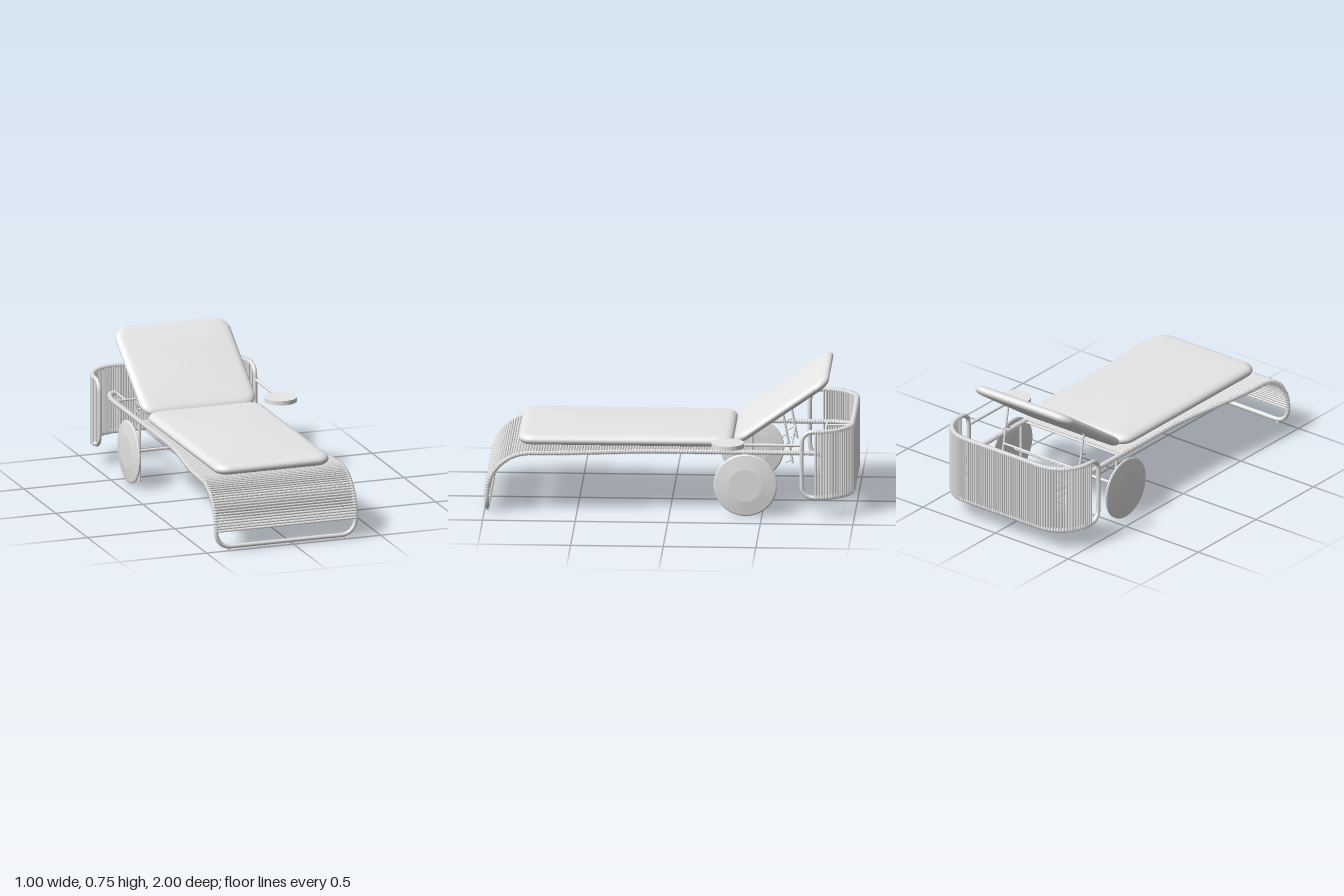
import * as THREE from 'three';
import { mergeGeometries, toCreasedNormals } from 'three/addons/utils/BufferGeometryUtils.js';

const V = (x, y, z) => new THREE.Vector3(x, y, z);

export function createModel() {
  const paleGrey = new THREE.MeshStandardMaterial({ color: 0xe7e7e7 });
  paleGrey.name = 'pale grey';
  const model = new THREE.Group();
  const body = new THREE.Group();
  body.name = 'lounger';
  body.position.x = -0.0385;
  model.add(body);

  const add = (name, geo) => {
    const mesh = new THREE.Mesh(geo, paleGrey);
    mesh.name = name;
    body.add(mesh);
    return mesh;
  };
  // Straight round bar between two points
  const bar = (a, b, r, sides = 10) => {
    const d = b.clone().sub(a);
    const g = new THREE.CylinderGeometry(r, r, d.length(), sides);
    g.applyQuaternion(new THREE.Quaternion().setFromUnitVectors(V(0, 1, 0), d.normalize()));
    return g.translate((a.x + b.x) / 2, (a.y + b.y) / 2, (a.z + b.z) / 2);
  };
  // One turn of cord around a tube
  const turn = (p, tangent) => {
    const g = new THREE.TorusGeometry(0.009, 0.006, 5, 10);
    g.applyQuaternion(new THREE.Quaternion().setFromUnitVectors(V(0, 0, 1), tangent));
    return g.translate(p.x, p.y, p.z);
  };

  // Soft cushion lofted from rounded rectangles, closed at both poles
  const cushion = (w, l, t) => {
    const rings = [], edge = 0.045, c = 0.082, h = t / 2;
    const dome = [0, 0.4, 0.65, 0.82, 0.93].map(s => [edge, s, (0.78 + 0.22 * (1 - s * s)) * h]);
    for (const [e, s, y] of dome) rings.push([e, s, -y]);
    for (let k = 0; k <= 10; k++) {
      const a = (k / 10 - 0.5) * Math.PI;
      rings.push([edge * (1 - Math.cos(a)), 1, 0.78 * h * Math.sin(a)]);
    }
    rings.push(...dome.reverse());
    const pos = [], idx = [], per = 36;
    for (const [inset, s, y] of rings) {
      for (let q = 0; q < 4; q++) {
        const sx = q === 0 || q === 3 ? 1 : -1, sz = q < 2 ? -1 : 1;
        for (let k = 0; k <= 8; k++) {
          const a = (q + k / 8) * Math.PI / 2;
          pos.push(s * (sx * (w / 2 - c) + (c - inset) * Math.cos(a)), y,
            s * (sz * (l / 2 - c) - (c - inset) * Math.sin(a)));
        }
      }
    }
    for (let j = 0; j < rings.length - 1; j++) {
      for (let i = 0; i < per; i++) {
        const a = j * per + i, b = j * per + (i + 1) % per;
        idx.push(a, b, b + per, a, b + per, a + per);
      }
    }
    const g = new THREE.BufferGeometry();
    g.setAttribute('position', new THREE.Float32BufferAttribute(pos, 3));
    g.setIndex(idx);
    g.computeVertexNormals();
    return g;
  };
  add('seatCushion', cushion(0.66, 1.16, 0.074)).position.set(0, 0.39, 0.24);
  const back = add('backCushion', cushion(0.66, 0.62, 0.066));
  back.position.set(0, 0.563, -0.599);
  back.rotation.x = 0.61;

  // Side rails: curved in at the back, flared and bent down at the front
  const deckY = 0.342;
  const half = z => 0.33 + 0.07 * THREE.MathUtils.smoothstep(z, 0, 0.75);
  const pts = [V(0.26, deckY, -0.975), V(0.3, deckY, -0.95), V(0.323, deckY, -0.88), V(0.33, deckY, -0.8)];
  for (let i = -7; i <= 7; i++) pts.push(V(half(i / 10), deckY, i / 10));
  for (let k = 0; k <= 6; k++) {
    const a = k / 6 * Math.PI / 2;
    pts.push(V(0.4, 0.11 + (deckY - 0.11) * Math.cos(a), 0.75 + 0.235 * Math.sin(a)));
  }
  const rail = new THREE.CatmullRomCurve3(pts);
  const turns = [], deck = [], count = 145;
  for (let i = 0; i <= count; i++) {
    const p = rail.getPointAt(i / count), t = rail.getTangentAt(i / count);
    for (const s of [1, -1]) turns.push(turn(V(s * p.x, p.y, p.z), V(s * t.x, t.y, t.z)));
    if (p.z > -0.38) {
      const n = V(0, t.z, -t.y).normalize().multiplyScalar(0.0095);
      for (const s of [1, -1]) {
        const o = p.clone().addScaledVector(n, s);
        deck.push(bar(V(-o.x, o.y, o.z), o, 0.0055, 6));
      }
    }
  }
  for (const s of [1, -1]) {
    const curve = new THREE.CatmullRomCurve3(pts.map(p => V(s * p.x, p.y, p.z)));
    add(s > 0 ? 'leftRail' : 'rightRail', new THREE.TubeGeometry(curve, 90, 0.012, 8));
  }
  add('railWrapping', mergeGeometries(turns));
  add('deckCords', mergeGeometries(deck));

  // Front foot hoop with small pads
  const hoop = [V(-0.4, 0.14, 0.983), V(-0.4, 0.12, 0.985)];
  for (let k = 0; k <= 6; k++) {
    const a = k / 6 * Math.PI / 2;
    hoop.push(V(-0.32 - 0.08 * Math.cos(a), 0.1 - 0.08 * Math.sin(a), 0.985));
  }
  hoop.push(V(-0.2, 0.02, 0.985));
  hoop.push(...hoop.slice().reverse().map(p => V(-p.x, p.y, p.z)));
  add('frontFoot', new THREE.TubeGeometry(new THREE.CatmullRomCurve3(hoop), 100, 0.012, 10));
  for (const x of [-0.329, 0.329]) add('footPad', bar(V(x, 0, 0.985), V(x, 0.015, 0.985), 0.008));

  // Rear legs, axle and lens-shaped wheels
  const axleY = 0.175, axleZ = -0.412;
  add('axle', bar(V(-0.39, axleY, axleZ), V(0.39, axleY, axleZ), 0.008));
  const wheelProfile = [[0, -0.018], [0.088, -0.018], [0.165, -0.007], [0.172, -0.003],
    [0.172, 0.003], [0.165, 0.007], [0.088, 0.018], [0, 0.018]].map(p => new THREE.Vector2(...p));
  const wheelGeo = toCreasedNormals(new THREE.LatheGeometry(wheelProfile, 48), 0.12).rotateZ(Math.PI / 2);
  for (const s of [1, -1]) {
    add('rearLeg', bar(V(s * 0.329, 0.002, axleZ), V(s * 0.329, deckY, axleZ), 0.008));
    add('wheel', wheelGeo).position.set(s * 0.39, axleY, axleZ);
  }

  // Wrap-around rear screen: plan outline with x across and depth toward the back
  const h = 0.447, r = 0.19, yTop = 0.491, yLow = 0.124;
  const plan = new THREE.Path();
  plan.moveTo(-h, 0.72);
  plan.lineTo(-h, 0.795);
  plan.absarc(-h + r, 0.795, r, Math.PI, Math.PI / 2, true);
  plan.lineTo(h - r, 0.985);
  plan.absarc(h - r, 0.795, r, Math.PI / 2, 0, true);
  plan.lineTo(h, 0.72);
  const planLength = plan.getLength();
  const at = (d, y) => {
    const p = plan.getPointAt(THREE.MathUtils.clamp(d / planLength, 0, 1));
    return V(p.x, y, -p.y);
  };
  const c = 0.06, loop = [];
  const corner = (side, top) => {
    const list = [];
    for (let k = 0; k <= 5; k++) {
      const a = k / 5 * Math.PI / 2, d = c * (1 - Math.cos(a)), dy = c * (1 - Math.sin(a));
      list.push(at(side < 0 ? d : planLength - d, top ? yTop - dy : yLow + dy));
    }
    return list;
  };
  const run = y => Array.from({ length: 39 }, (_, i) => at(c + (planLength - 2 * c) * (i + 1) / 40, y));
  loop.push(...corner(-1, true), ...run(yTop), ...corner(1, true).reverse(),
    ...corner(1, false), ...run(yLow).reverse(), ...corner(-1, false).reverse());
  add('screenFrame', new THREE.TubeGeometry(new THREE.CatmullRomCurve3(loop, true), 260, 0.012, 10, true));

  // Vertical cords wound over the screen frame
  const screen = [], n = 76, start = 0.075;
  for (let i = 0; i <= n; i++) {
    const d = start + (planLength - 2 * start) * i / n;
    const t2 = plan.getTangentAt(d / planLength), t = V(t2.x, 0, -t2.y);
    for (const y of [yTop, yLow]) screen.push(turn(at(d, y), t));
    for (const s of [1, -1]) {
      const off = V(t.z, 0, -t.x).multiplyScalar(s * 0.009);
      screen.push(bar(at(d, yLow).add(off), at(d, yTop).add(off), 0.0055, 6));
    }
  }
  add('screenCords', mergeGeometries(screen));

  // Side tray on its arm
  add('trayArm', bar(V(h, 0.415, -0.725), V(h, 0.415, -0.38), 0.008));
  const trayProfile = [[0, -0.002], [0.08, -0.002], [0.08, -0.012], [0.088, -0.012], [0.088, 0.012], [0, 0.012]]
    .map(p => new THREE.Vector2(...p));
  add('tray', toCreasedNormals(new THREE.LatheGeometry(trayProfile, 40), 0.5)).position.set(h, 0.414, -0.32);

  // Notched props that hold the backrest, with their cross bars and runners
  const a = V(0, 0.54, -0.61), b = V(0, 0.265, -0.662);
  for (const x of [-0.26, 0.26]) {
    const parts = [bar(a.clone().setX(x), b.clone().setX(x), 0.006, 8)];
    for (let k = 0; k < 4; k++) {
      const p = a.clone().lerp(b, 0.4 + k * 0.17).setX(x);
      parts.push(bar(p, p.clone().add(V(0, -0.022, 0.035)), 0.004, 6));
    }
    add('backrestProp', mergeGeometries(parts));
    add('runner', bar(V(x, deckY, -0.975), V(x, deckY, -0.82), 0.006, 8));
  }
  add('propCrossBar', bar(V(-0.26, 0.335, -0.65), V(0.26, 0.335, -0.65), 0.006, 8));
  add('rearCrossBar', bar(V(-0.325, deckY, -0.82), V(0.325, deckY, -0.82), 0.006, 8));
  return model;
}
